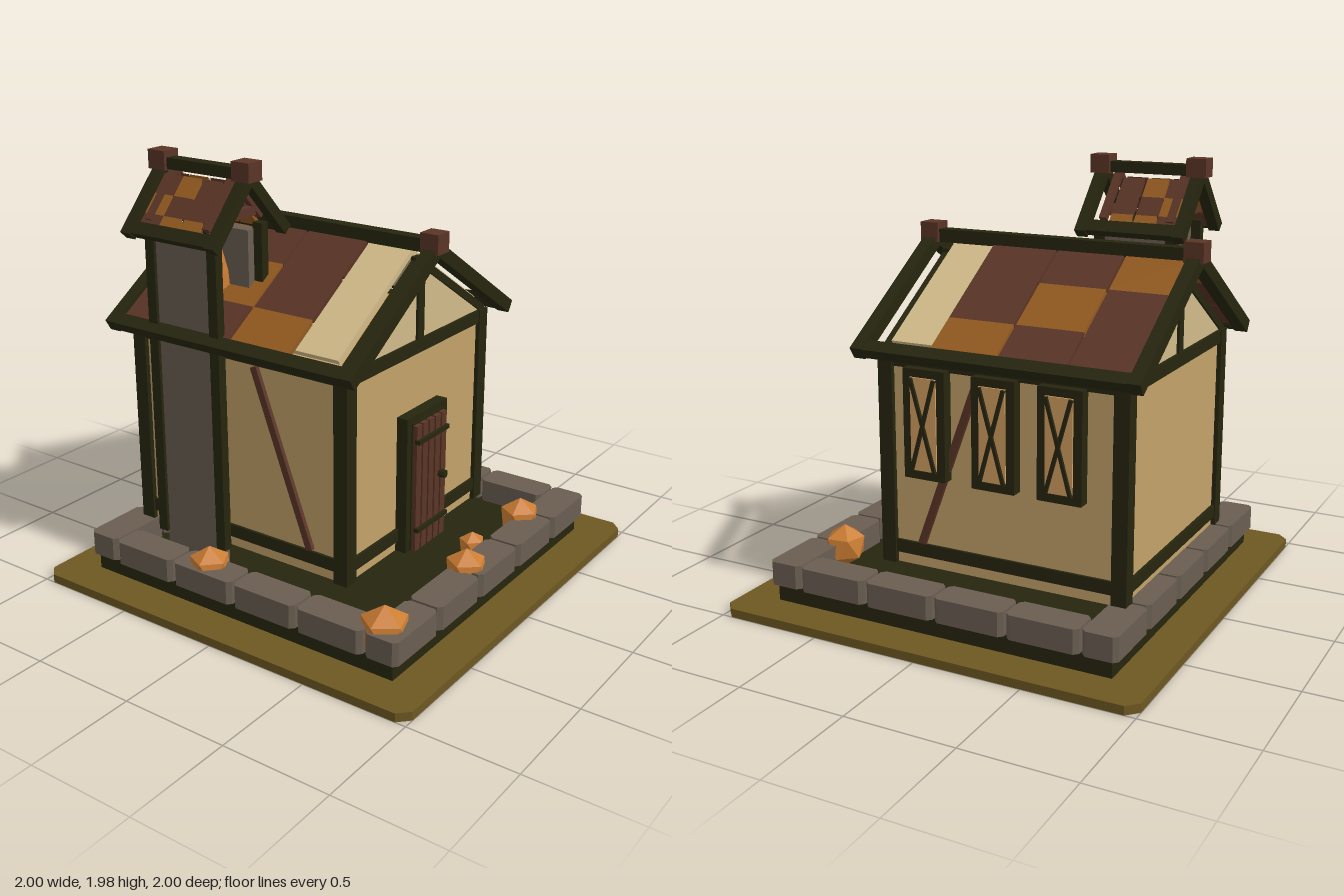
import * as THREE from 'three';

const mat = (name, color) => {
  const m = new THREE.MeshStandardMaterial({ color, flatShading: true });
  m.name = name;
  return m;
};

export function createModel() {
  const M = {
    earth: mat('earth', 0x6e5822), timber: mat('dark timber', 0x26250f),
    stone: mat('stone', 0x6a5e52), wall: mat('tan plaster', 0xc4a26a),
    cream: mat('cream plaster', 0xd2bb8a), wood: mat('red brown wood', 0x5a3526),
    ochre: mat('ochre tile', 0x935a20), pane: mat('window pane', 0xd2a060),
    orange: mat('orange', 0xcb7d33),
  };
  const root = new THREE.Group();
  root.name = 'chapel';
  const group = (name, parent = root) => {
    const g = new THREE.Group();
    g.name = name;
    parent.add(g);
    return g;
  };
  const add = (name, geo, m, parent = root) => {
    const mesh = new THREE.Mesh(geo, m);
    mesh.name = name;
    parent.add(mesh);
    return mesh;
  };
  // Box given by its limits on each axis
  const box = (name, m, x0, x1, y0, y1, z0, z1, parent) => {
    const b = add(name, new THREE.BoxGeometry(x1 - x0, y1 - y0, z1 - z0), m, parent);
    b.position.set((x0 + x1) / 2, (y0 + y1) / 2, (z0 + z1) / 2);
    return b;
  };
  // Polygon in x,y drawn out from z0 to z1
  const prism = (name, m, pts, z0, z1, parent) => {
    const s = new THREE.Shape(pts.map(p => new THREE.Vector2(...p)));
    const b = add(name, new THREE.ExtrudeGeometry(s, { depth: z1 - z0, bevelEnabled: false }), m, parent);
    b.position.z = z0;
    return b;
  };
  // Sloping piece on one side of a roof whose top line is y = a - s * |x - cx|
  const slope = (name, m, side, r, a, x0, x1, t, z0, z1, parent) => {
    const k = Math.hypot(1, r.s), dx = t * r.s / k, dy = t / k;
    const pts = [[x0, a - r.s * x0], [x1, a - r.s * x1], [x1 - dx, a - r.s * x1 - dy], [x0, a - r.s * x0 - t * k]];
    return prism(name, m, pts.map(([x, y]) => [r.cx + side * x, y]), z0, z1, parent);
  };
  const chevron = (name, m, r, a, w, t, z0, z1, parent) => {
    for (const side of [-1, 1]) slope(name, m, side, r, a, 0, w, t, z0, z1, parent);
  };
  // Slab with cut corners, lying flat
  const slab = (name, m, x0, x1, y0, y1, z0, z1, c, parent) => {
    const w = (x1 - x0) / 2, d = (z1 - z0) / 2;
    const b = prism(name, m, [[-w + c, -d], [w - c, -d], [w, -d + c], [w, d - c],
      [w - c, d], [-w + c, d], [-w, d - c], [-w, -d + c]], 0, y1 - y0, parent);
    b.rotation.x = -Math.PI / 2;
    b.position.set((x0 + x1) / 2, y0, (z0 + z1) / 2);
  };

  // Ground and stone border
  slab('ground', M.earth, -1, 1, 0, 0.04, -1, 1, 0.05);
  box('foundation', M.timber, -0.82, 0.82, 0.04, 0.12, -0.82, 0.82);
  const border = group('stoneBorder');
  for (const side of [-1, 1]) {
    const z = side * 0.77, x = side * 0.775;
    for (let i = 0; i < 5; i++) {
      const c = (i - 2) * 0.34;
      slab('borderStone', M.stone, c - 0.163, c + 0.163, 0.12, 0.23, z - 0.08, z + 0.08, 0.02, border);
    }
    for (let i = 0; i < 4; i++) {
      const c = (i - 1.5) * 0.343;
      slab('borderStone', M.stone, x - 0.075, x + 0.075, 0.12, 0.23, c - 0.165, c + 0.165, 0.02, border);
    }
  }

  // House walls and timber frame
  const house = group('house');
  box('walls', M.wall, -0.55, 0.55, 0.22, 1.18, -0.75, 0.4, house);
  for (const x of [-0.5375, 0.5375]) {
    for (const z of [-0.735, 0.385])
      box('cornerPost', M.timber, x - 0.035, x + 0.035, 0.22, 1.19, z - 0.035, z + 0.035, house);
    for (const [y0, y1] of [[0.27, 0.33], [1.13, 1.19]])
      box('sideBeam', M.timber, x - 0.025, x + 0.025, y0, y1, -0.73, 0.38, house);
    const brace = box('brace', M.wood, -0.01, 0.01, -0.42, 0.42, -0.017, 0.017, house);
    brace.position.set(Math.sign(x) * 0.56, 0.73, 0.07);
    brace.rotation.x = -0.355;
  }
  const roof = { cx: 0, s: 0.64 };
  for (const [z, out] of [[0.39, 1], [-0.74, -1]]) {
    for (const [y0, y1] of [[0.27, 0.33], [1.13, 1.19]])
      box('endBeam', M.timber, -0.53, 0.53, y0, y1, z - 0.025, z + 0.025, house);
    prism('gable', M.cream, [[-0.56, 1.18], [0.56, 1.18], [0, 1.54]], z - 0.01, z + 0.01, house);
    box('kingPost', M.timber, -0.025, 0.025, 1.19, 1.56, z - 0.022, z + 0.022, house);
    chevron('gableRafter', M.timber, roof, 1.56, 0.56, 0.035, z - 0.02, z + 0.02, house);
    const e = z + out * 0.08;
    chevron('bargeBoard', M.timber, roof, 1.64, 0.665, 0.06, e - 0.03, e + 0.03, house);
    box('ridgeCap', M.wood, -0.045, 0.045, 1.59, 1.68, e - 0.045, e + 0.045, house);
  }

  // Main roof: deck, ridge, eaves and tile rows
  const roofs = group('mainRoof');
  box('ridgeBeam', M.timber, -0.03, 0.03, 1.59, 1.65, -0.82, 0.46, roofs);
  const rows = [[-0.8, -0.51, 'oww'], [-0.5, -0.185, 'wow'], [-0.175, 0.14, 'wwo']];
  const cols = [0.02, 0.21, 0.43, 0.62];
  for (const side of [-1, 1]) {
    slope('roofDeck', M.cream, side, roof, 1.59, 0, 0.55, 0.025, -0.72, 0.36, roofs);
    slope('eaveBeam', M.timber, side, roof, 1.635, 0.61, 0.662, 0.05, -0.83, 0.48, roofs);
    for (const [z0, z1, key] of rows) for (let i = 0; i < 3; i++)
      slope('roofTile', key[i] === 'o' ? M.ochre : M.wood, side, roof, 1.615, cols[i], cols[i + 1], 0.02, z0, z1, roofs);
  }

  // Door
  const door = group('door');
  for (const s of [-1, 1]) box('doorJamb', M.timber, s * 0.145 - 0.02, s * 0.145 + 0.02, 0.22, 0.87, 0.4, 0.455, door);
  box('doorLintel', M.timber, -0.165, 0.165, 0.83, 0.87, 0.4, 0.455, door);
  box('doorBack', M.timber, -0.13, 0.13, 0.22, 0.84, 0.4, 0.46, door);
  for (let i = -2; i <= 2; i++)
    box('doorPlank', M.wood, i * 0.052 - 0.02, i * 0.052 + 0.02, 0.22, 0.83, 0.45, 0.48, door);
  for (const y of [0.325, 0.755]) box('doorStrap', M.timber, -0.125, 0.125, y - 0.01, y + 0.01, 0.47, 0.495, door);
  const knob = add('doorKnob', new THREE.CylinderGeometry(0.02, 0.02, 0.03, 8), M.timber, door);
  knob.rotation.x = Math.PI / 2;
  knob.position.set(0.077, 0.537, 0.495);

  // Windows along the left wall
  for (const z of [0.17, -0.165, -0.475]) {
    const w = group('window');
    for (const s of [-1, 1]) {
      box('windowJamb', M.timber, 0.55, 0.605, 0.65, 1.14, z + s * 0.082 - 0.02, z + s * 0.082 + 0.02, w);
      const y = 0.895 + s * 0.228;
      box('windowRail', M.timber, 0.55, 0.605, y - 0.018, y + 0.018, z - 0.1, z + 0.1, w);
      const bar = box('crossBar', M.timber, -0.012, 0.012, -0.215, 0.215, -0.008, 0.008, w);
      bar.position.set(0.612, 0.895, z);
      bar.rotation.x = s * 0.27;
    }
    box('pane', M.pane, 0.56, 0.612, 0.69, 1.105, z - 0.063, z + 0.063, w);
  }

  // Bell tower shaft
  const tower = group('bellTower');
  const cx = -0.445;
  for (const side of [-1, 1]) {
    for (const z of [-0.595, -0.245])
      box('towerPost', M.timber, cx + side * 0.155 - 0.022, cx + side * 0.155 + 0.022, 0.22, 1.68, z - 0.025, z + 0.025, tower);
    const x = cx + side * 0.128;
    box('towerWall', M.stone, x - 0.034, x + 0.034, 0.12, 1.65, -0.575, -0.265, tower);
  }

  // Bell tower roof
  const small = { cx, s: 1.1 };
  box('towerRidge', M.timber, cx - 0.03, cx + 0.03, 1.9, 1.95, -0.66, -0.18, tower);
  for (const [z, inner] of [[-0.185, -0.265], [-0.655, -0.59]]) {
    chevron('towerRafter', M.timber, small, 1.945, 0.262, 0.05, z - 0.026, z + 0.026, tower);
    box('towerCap', M.wood, cx - 0.045, cx + 0.045, 1.895, 1.98, z - 0.047, z + 0.047, tower);
    chevron('innerRafter', M.wood, small, 1.915, 0.185, 0.025, inner - 0.018, inner + 0.018, tower);
    box('towerTie', M.wood, cx - 0.13, cx + 0.13, 1.715, 1.755, inner - 0.018, inner + 0.018, tower);
  }
  const keys = ['wwo', 'owo', 'wow'], tileZ = [-0.35, -0.468, -0.578];
  for (const side of [-1, 1]) {
    slope('towerEave', M.timber, side, small, 1.94, 0.215, 0.255, 0.04, -0.67, -0.17, tower);
    tileZ.forEach((z, r) => {
      for (let i = 0; i < 3; i++)
        slope('towerTile', keys[r][i] === 'o' ? M.ochre : M.wood, side, small, 1.9,
          0.02 + i * 0.068, 0.088 + i * 0.068, 0.015, z - 0.052, z + 0.052, tower);
    });
  }

  // Bell with stem and clapper
  const bell = group('bell');
  bell.position.set(cx, 0, -0.42);
  const profile = [[0, 1.4], [0.095, 1.4], [0.09, 1.465], [0.05, 1.625], [0, 1.63]];
  add('bellBody', new THREE.LatheGeometry(profile.map(p => new THREE.Vector2(...p)), 8), M.orange, bell);
  box('bellStem', M.timber, -0.01, 0.01, 1.62, 1.72, -0.01, 0.01, bell);
  box('clapper', M.timber, -0.012, 0.012, 1.34, 1.41, -0.012, 0.012, bell);

  // Faceted rocks
  const rocks = [[-0.73, 0.2, 0.72, 0.115], [-0.11, 0.21, 0.74, 0.1], [0.48, 0.21, 0.69, 0.1],
    [0.22, 0.14, 0.58, 0.066], [-0.75, 0.21, -0.2, 0.1]];
  rocks.forEach(([x, y, z, r], i) => {
    const geo = new THREE.IcosahedronGeometry(r, 0).rotateZ(0.5536).rotateY(i * 1.3);
    add('rock', geo, M.orange).position.set(x, y, z);
  });
  return root;
}
